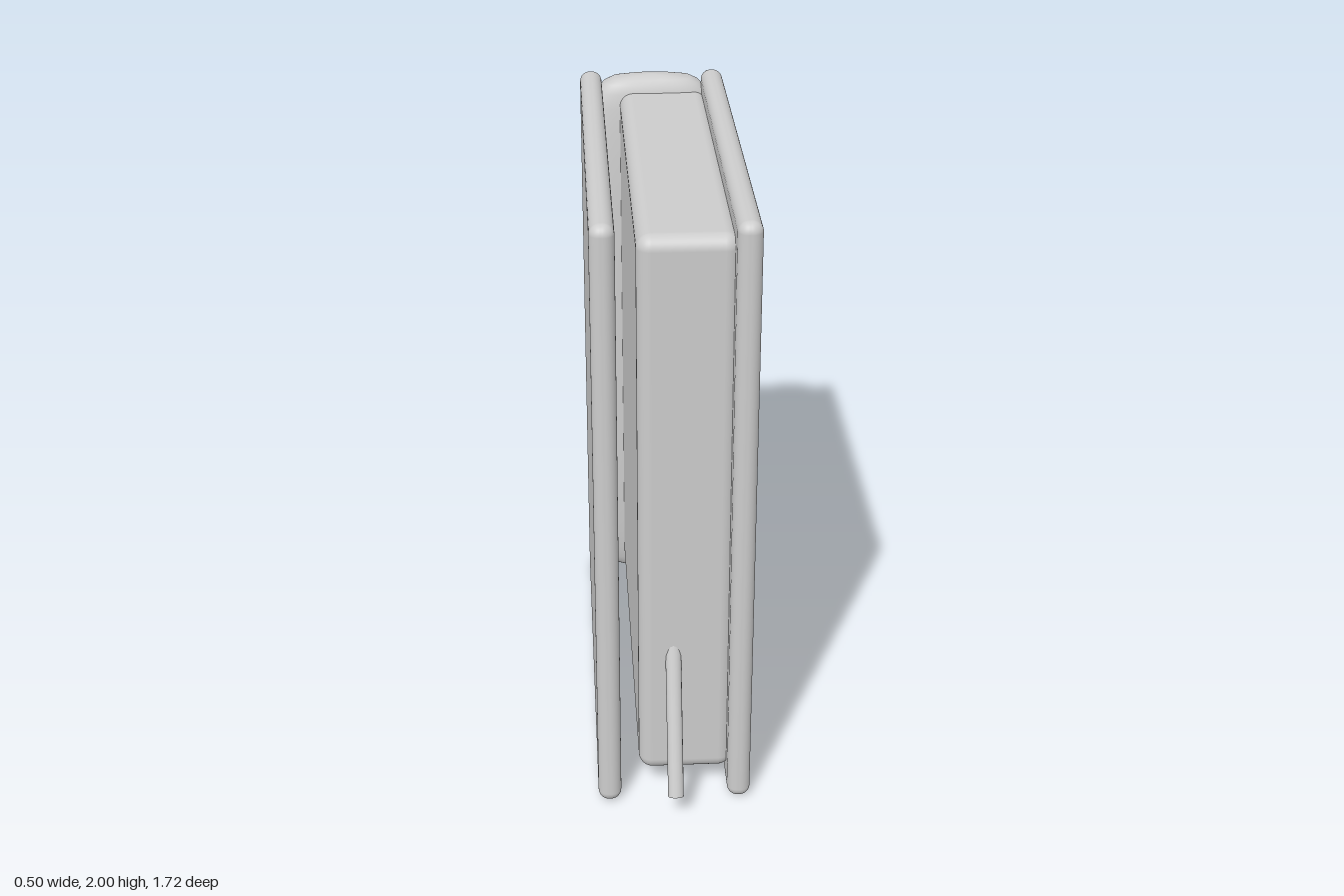
import * as THREE from 'three';
import { RoundedBoxGeometry } from 'three/addons/geometries/RoundedBoxGeometry.js';

const grey = new THREE.MeshStandardMaterial({ color: 0xcccccc });
grey.name = 'plain grey';

// Rounded box given by its minimum and maximum corners
function block(name, min, max, radius) {
  const size = max.map((v, i) => v - min[i]);
  const mesh = new THREE.Mesh(new RoundedBoxGeometry(...size, 5, radius), grey);
  mesh.position.set(...max.map((v, i) => (v + min[i]) / 2));
  mesh.name = name;
  return mesh;
}

// Soft pillow shape: superellipse rings [height from middle, half width, half depth]
function spineGeometry() {
  const half = [[0, 0.243, 0.098], [0.3, 0.243, 0.098], [0.5, 0.241, 0.097], [0.6, 0.238, 0.095],
    [0.7, 0.233, 0.091], [0.8, 0.225, 0.084], [0.88, 0.211, 0.076], [0.93, 0.19, 0.068],
    [0.96, 0.165, 0.058], [0.975, 0.135, 0.047], [0.985, 0.07, 0.025], [0.988, 0, 0]];
  const rings = [...half.slice(1).reverse().map(([y, w, d]) => [-y, w, d]), ...half];
  const n = 48, pos = [], index = [];
  const bend = (v) => Math.sign(v) * Math.abs(v) ** 0.6;
  rings.forEach(([y, w, d], r) => {
    for (let i = 0; i < n; i++) {
      const a = (i / n) * Math.PI * 2;
      pos.push(w * bend(Math.sin(a)), y, d * bend(Math.cos(a)));
      if (r === 0) continue;
      const j = (i + 1) % n, lo = (r - 1) * n, hi = r * n;
      index.push(lo + i, lo + j, hi + j, lo + i, hi + j, hi + i);
    }
  });
  const g = new THREE.BufferGeometry();
  g.setAttribute('position', new THREE.Float32BufferAttribute(pos, 3));
  g.setIndex(index);
  g.computeVertexNormals();
  return g;
}

export function createModel() {
  const book = new THREE.Group();
  book.name = 'book';

  // Covers, with a thin panel on the left one
  book.add(block('rightCover', [-0.257, 0, -0.744], [-0.183, 2, 0.757], 0.034));
  book.add(block('leftCover', [0.162, 0, -0.744], [0.236, 2, 0.757], 0.034));
  const panel = new THREE.Mesh(new THREE.BoxGeometry(0.006, 1.815, 1.37), grey);
  panel.position.set(0.235, 1.003, 0.01);
  panel.name = 'coverPanel';
  book.add(panel);

  // Page block resting against the left cover
  book.add(block('pages', [-0.122, 0.07, -0.7], [0.18, 1.937, 0.69], 0.045));

  // Bulging spine
  const spine = new THREE.Mesh(spineGeometry(), grey);
  spine.position.set(-0.01, 1.002, -0.719);
  spine.name = 'spine';
  book.add(spine);

  // Raised bands behind the spine
  for (const y of [0.212, 0.437, 1.622, 1.807]) {
    book.add(block('spineBand', [-0.202, y - 0.015, -0.863], [0.18, y + 0.015, -0.824], 0.0135));
  }

  // Ribbon leaning out of the pages
  const ribbon = new THREE.Mesh(new THREE.CylinderGeometry(0.025, 0.025, 0.58, 16), grey);
  ribbon.scale.z = 0.8;
  ribbon.rotation.x = -0.349;
  ribbon.position.set(-0.012, 0.357, 0.742);
  ribbon.name = 'ribbonBookmark';
  book.add(ribbon);

  return book;
}
